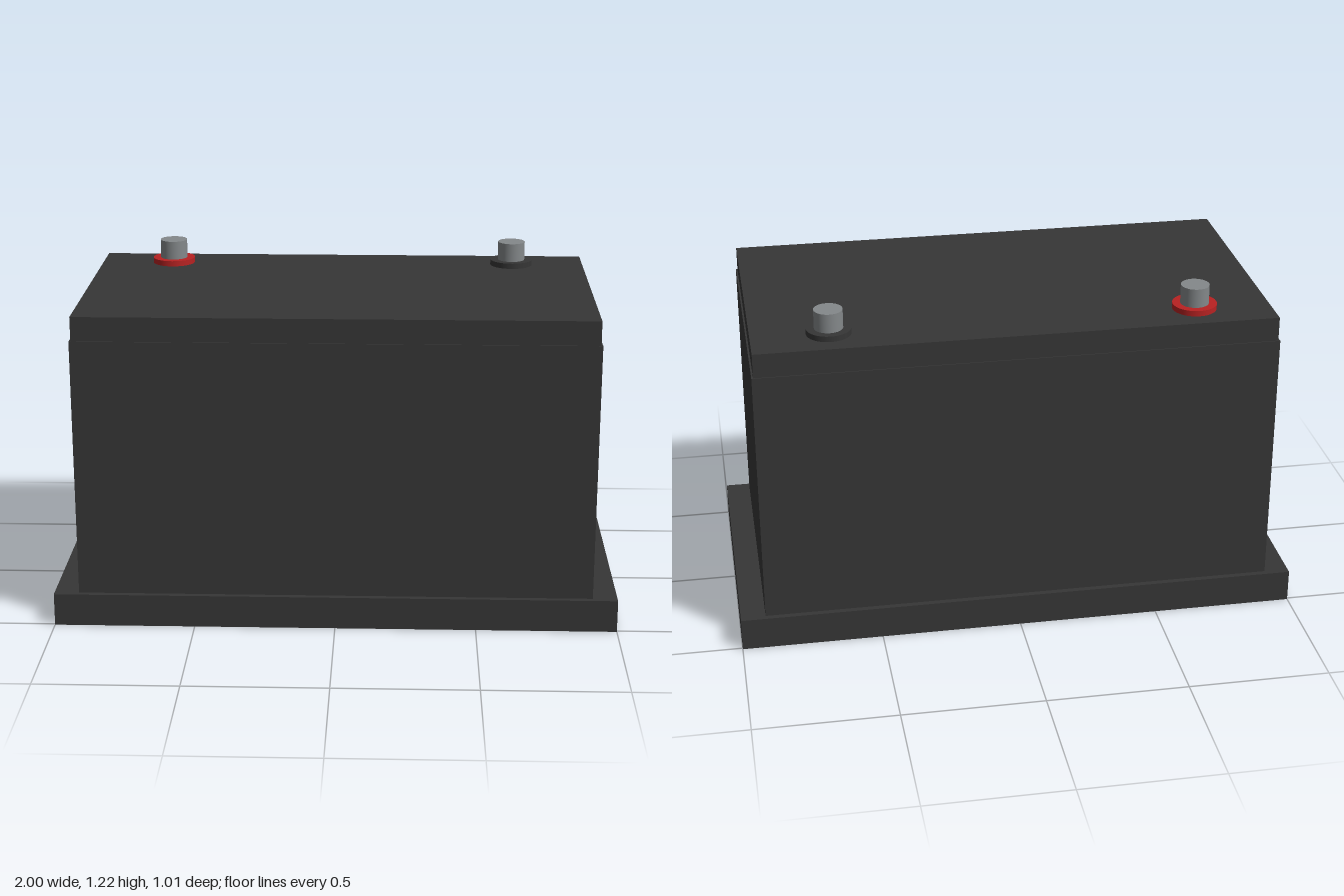
import * as THREE from 'three';

export function createModel() {
  const model = new THREE.Group();
  model.name = 'battery';

  const material = (name, color) => {
    const m = new THREE.MeshStandardMaterial({ color });
    m.name = name;
    return m;
  };
  const black = material('black plastic', 0x363636);
  const red = material('red plastic', 0xb82222);
  const metal = material('grey metal', 0x84888a);

  const add = (parent, name, geometry, mat, x, y, z) => {
    const mesh = new THREE.Mesh(geometry, mat);
    mesh.name = name;
    mesh.position.set(x, y, z);
    parent.add(mesh);
  };
  const box = (name, w, d, y0, y1) =>
    add(model, name, new THREE.BoxGeometry(w, y1 - y0, d), black, 0, (y0 + y1) / 2, 0);

  // Case: wide foot, main body and slightly narrower lid
  box('baseFlange', 2, 1.014, 0, 0.117);
  box('caseBody', 1.825, 0.974, 0.117, 1.044);
  box('lid', 1.813, 0.966, 1.044, 1.13);

  // Terminals: a coloured collar with a metal post
  const terminal = (name, x, collarMaterial) => {
    const group = new THREE.Group();
    group.name = name;
    group.position.set(x, 1.13, -0.347);
    add(group, 'collar', new THREE.CylinderGeometry(0.078, 0.078, 0.02, 32), collarMaterial, 0, 0.01, 0);
    add(group, 'post', new THREE.CylinderGeometry(0.05, 0.05, 0.088, 32), metal, 0, 0.044, 0);
    model.add(group);
  };
  terminal('positiveTerminal', -0.638, red);
  terminal('negativeTerminal', 0.638, black);

  return model;
}
